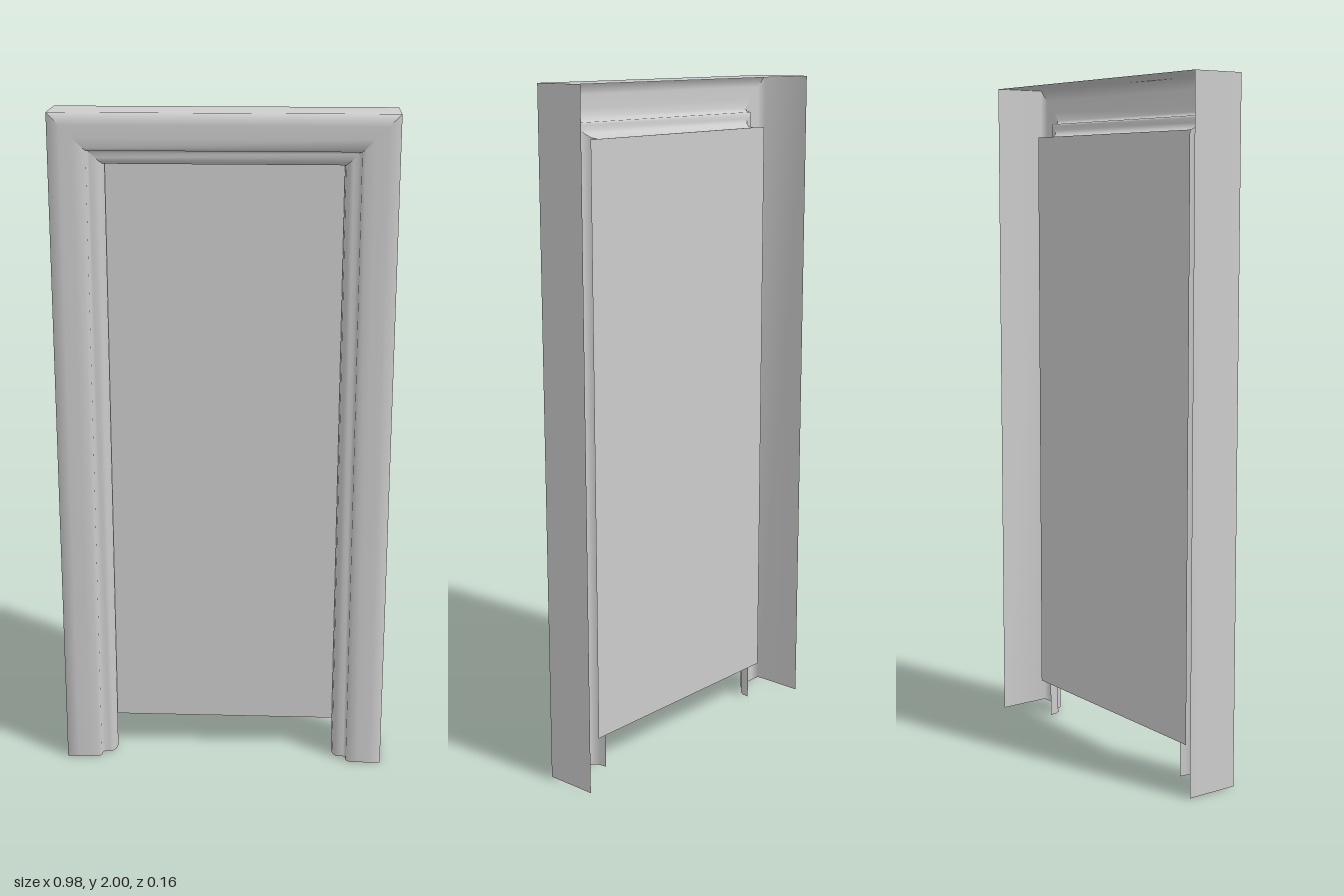
import * as THREE from 'three';

const HALF_W = 0.49, HEIGHT = 2;

// Open moulding cross-section: [inset from the outer edge, z], back to front to inner lip
const PROFILE = [
  [0, -0.08], [0, 0.079], [0.035, 0.08], [0.07, 0.08], [0.097, 0.078],
  [0.106, 0.068], [0.108, 0.05], [0.114, 0.045], [0.128, 0.046],
  [0.139, 0.04], [0.148, 0.026], [0.151, 0.003],
];

// One length of moulding between two cross-sections, smooth along the profile
function moulding(name, start, end, material) {
  const pos = [], index = [], n = PROFILE.length;
  for (const place of [start, end])
    for (const [t, z] of PROFILE) pos.push(...place(t), z);
  for (let k = 0; k < n - 1; k++)
    index.push(k, k + 1, n + k, k + 1, n + k + 1, n + k);
  const geo = new THREE.BufferGeometry();
  geo.setAttribute('position', new THREE.Float32BufferAttribute(pos, 3));
  geo.setIndex(index);
  geo.computeVertexNormals();
  const mesh = new THREE.Mesh(geo, material);
  mesh.name = name;
  return mesh;
}

export function createModel() {
  const group = new THREE.Group();
  group.name = 'doorway';
  const material = new THREE.MeshStandardMaterial({ color: 0xcccccc, side: THREE.DoubleSide });

  // Feet and mitred corners of the frame, as functions of the inset
  const foot = (s) => (t) => [s * (HALF_W - t), 0];
  const mitre = (s) => (t) => [s * (HALF_W - t), HEIGHT - t];

  const frame = new THREE.Group();
  frame.name = 'doorFrame';
  frame.add(
    moulding('rightPost', foot(-1), mitre(-1), material),
    moulding('lintel', mitre(-1), mitre(1), material),
    moulding('leftPost', mitre(1), foot(1), material),
  );
  group.add(frame);

  // Flat door sheet, tucked behind the posts and raised off the floor
  const bottom = 0.108, top = 1.85;
  const panel = new THREE.Mesh(new THREE.PlaneGeometry(0.756, top - bottom), material);
  panel.name = 'doorPanel';
  panel.position.set(0, (top + bottom) / 2, -0.006);
  group.add(panel);

  return group;
}
